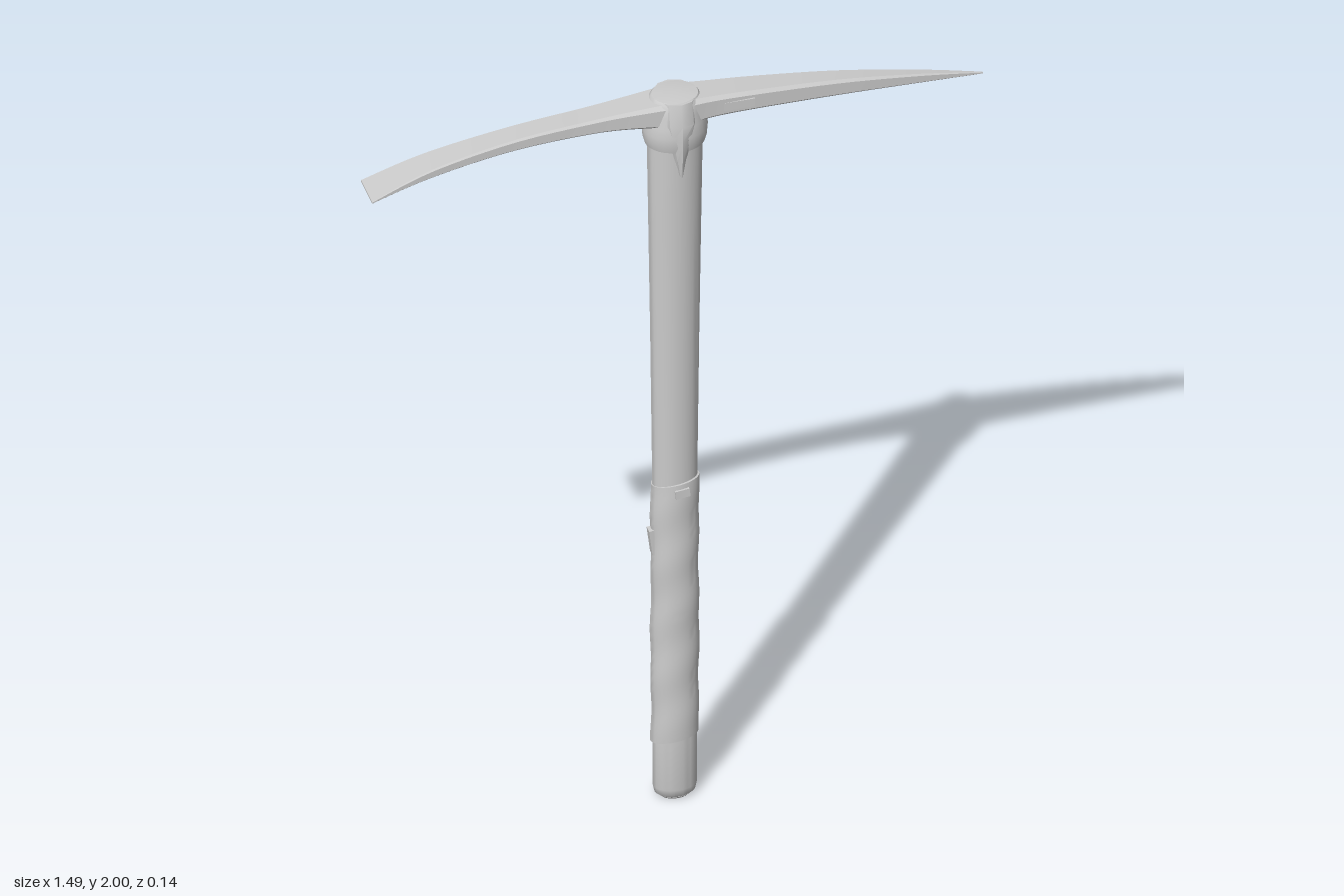
import * as THREE from 'three';
import { toCreasedNormals } from 'three/addons/utils/BufferGeometryUtils.js';

const material = new THREE.MeshStandardMaterial({ color: 0xcccccc });

function add(group, name, geometry, x = 0, y = 0, z = 0) {
  const mesh = new THREE.Mesh(geometry, material);
  mesh.name = name;
  mesh.position.set(x, y, z);
  group.add(mesh);
  return mesh;
}

// Oval turned part: rows are [radius, y], depth is squashed along z
function ovalLathe(rows, depth, sides = 32) {
  const geometry = new THREE.LatheGeometry(rows.map(([r, y]) => new THREE.Vector2(r, y)), sides);
  geometry.scale(1, 1, depth);
  return toCreasedNormals(geometry, 0.7);
}

// Closed skin over equal-sized rings of points
function loft(rings, crease) {
  const n = rings[0].length, index = [];
  for (let i = 0; i < rings.length - 1; i++) {
    for (let j = 0; j < n; j++) {
      const a = i * n + j, b = i * n + (j + 1) % n;
      index.push(a, b, a + n, b, b + n, a + n);
    }
  }
  const last = (rings.length - 1) * n;
  for (let j = 1; j < n - 1; j++) index.push(0, j + 1, j, last, last + j, last + j + 1);
  const geometry = new THREE.BufferGeometry();
  geometry.setAttribute('position', new THREE.Float32BufferAttribute(rings.flat(2), 3));
  geometry.setIndex(index);
  return toCreasedNormals(geometry, crease);
}

// Head arm with a chamfered box section, rows are [x, bottom, top, half width]
function headArm(rows) {
  const curve = k => new THREE.SplineCurve(rows.map(r => new THREE.Vector2(r[0], r[k])));
  const curves = [1, 2, 3].map(curve);
  const rings = [];
  for (let i = 0; i <= 24; i++) {
    const [lo, hi, half] = curves.map(c => c.getPoint(i / 24));
    const x = lo.x, w = half.y, c = Math.min(w, (hi.y - lo.y) / 2) * 0.3;
    rings.push([
      [x, lo.y, w - c], [x, lo.y, c - w], [x, lo.y + c, -w], [x, hi.y - c, -w],
      [x, hi.y, c - w], [x, hi.y, w - c], [x, hi.y - c, w], [x, lo.y + c, w],
    ]);
  }
  return loft(rings, 0.5);
}

export function createModel() {
  const model = new THREE.Group();
  model.name = 'pickaxe';

  // Wooden handle, swelling towards the head
  add(model, 'handle', ovalLathe([
    [0, 0.005], [0.04, 0.005], [0.049, 0.012], [0.053, 0.03], [0.053, 0.16], [0.053, 0.6],
    [0.054, 0.95], [0.058, 1.3], [0.063, 1.65], [0.066, 1.85], [0.066, 1.94], [0, 1.94],
  ], 0.72));
  add(model, 'handleEnd', ovalLathe([[0, 0], [0.036, 0], [0.042, 0.006], [0, 0.006]], 0.74));

  // Cloth grip with uneven spiral folds
  const grip = new THREE.CylinderGeometry(0.057, 0.057, 0.73, 32, 48);
  const p = grip.attributes.position;
  for (let i = 0; i < p.count; i++) {
    const x = p.getX(i), y = p.getY(i), z = p.getZ(i);
    const angle = Math.atan2(z, x);
    const fold = 1 + 0.022 * Math.sin(angle + y * 40) + 0.016 * Math.sin(2 * angle - y * 17);
    const tilt = y + 0.012 * Math.sin(angle + 0.8);
    p.setXYZ(i, x * fold, tilt, z * fold * 0.77);
  }
  grip.computeVertexNormals();
  add(model, 'grip', toCreasedNormals(grip, 0.7), 0, 0.53, 0);

  // Loose cloth ends on the grip
  const ends = [
    [0.006, 0.88, 0.042, 0.035, 0.022, 0.012],
    [-0.055, 0.73, 0.004, 0.014, 0.07, 0.022],
    [0.012, 0.18, -0.046, 0.02, 0.035, 0.016],
    [0.005, 0.86, -0.043, 0.03, 0.02, 0.012],
  ];
  for (const [x, y, z, w, h, d] of ends) {
    const end = add(model, 'clothEnd', new THREE.BoxGeometry(w, h, d), x, y, z);
    end.rotation.z = 0.12;
  }

  // Head: flat adze on the right, point on the left
  const head = new THREE.Group();
  head.name = 'head';
  model.add(head);
  add(head, 'adzeBlade', headArm([
    [-0.745, 1.857, 1.861, 0.047], [-0.6, 1.893, 1.915, 0.038], [-0.4, 1.925, 1.955, 0.032],
    [-0.2, 1.936, 1.975, 0.034], [-0.08, 1.93, 1.986, 0.042], [0, 1.92, 1.993, 0.05],
  ]));
  add(head, 'pickPoint', headArm([
    [0, 1.92, 1.993, 0.05], [0.08, 1.93, 1.99, 0.042], [0.2, 1.93, 1.983, 0.036],
    [0.4, 1.922, 1.965, 0.025], [0.6, 1.91, 1.934, 0.012], [0.745, 1.901, 1.904, 0.002],
  ]));

  // Eye around the handle, with a domed top and flared collar
  add(head, 'eye', ovalLathe([
    [0.062, 1.867], [0.072, 1.865], [0.076, 1.88], [0.078, 1.905], [0.074, 1.93],
    [0.068, 1.96], [0.063, 1.985], [0.055, 1.995], [0, 2.0],
  ], 0.86));

  for (const side of [1, -1]) {
    // Ridged triangular strap running down the handle
    const section = (y, w, out, back) => [[-w, y, back], [-w * 0.6, y, out - 0.008],
      [0, y, out], [w * 0.6, y, out - 0.008], [w, y, back]];
    const strap = loft([
      section(1.79, 0.003, 0.064, 0.04), section(1.84, 0.017, 0.067, 0.04),
      section(1.9, 0.036, 0.071, 0.04), section(1.94, 0.048, 0.069, 0.035),
      section(1.994, 0.046, 0.055, 0.025),
    ].map(ring => ring.reverse()), 0.6);
    // Rings run upwards, so the reversed order faces inwards until flipped
    const flipped = strap.clone();
    const a = flipped.attributes.position;
    const v1 = new THREE.Vector3(), v2 = new THREE.Vector3();
    for (let i = 0; i < a.count; i += 3) {
      v1.fromBufferAttribute(a, i + 1);
      v2.fromBufferAttribute(a, i + 2);
      a.setXYZ(i + 1, v2.x, v2.y, v2.z);
      a.setXYZ(i + 2, v1.x, v1.y, v1.z);
    }
    flipped.computeVertexNormals();
    const mesh = add(head, 'strap', toCreasedNormals(flipped, 0.6));
    if (side < 0) mesh.rotation.y = Math.PI;

    // Small raised plate on the flank of the pick
    add(head, 'sidePlate', new THREE.BoxGeometry(0.075, 0.022, 0.008), 0.145, 1.958, side * 0.037);
  }
  return model;
}
